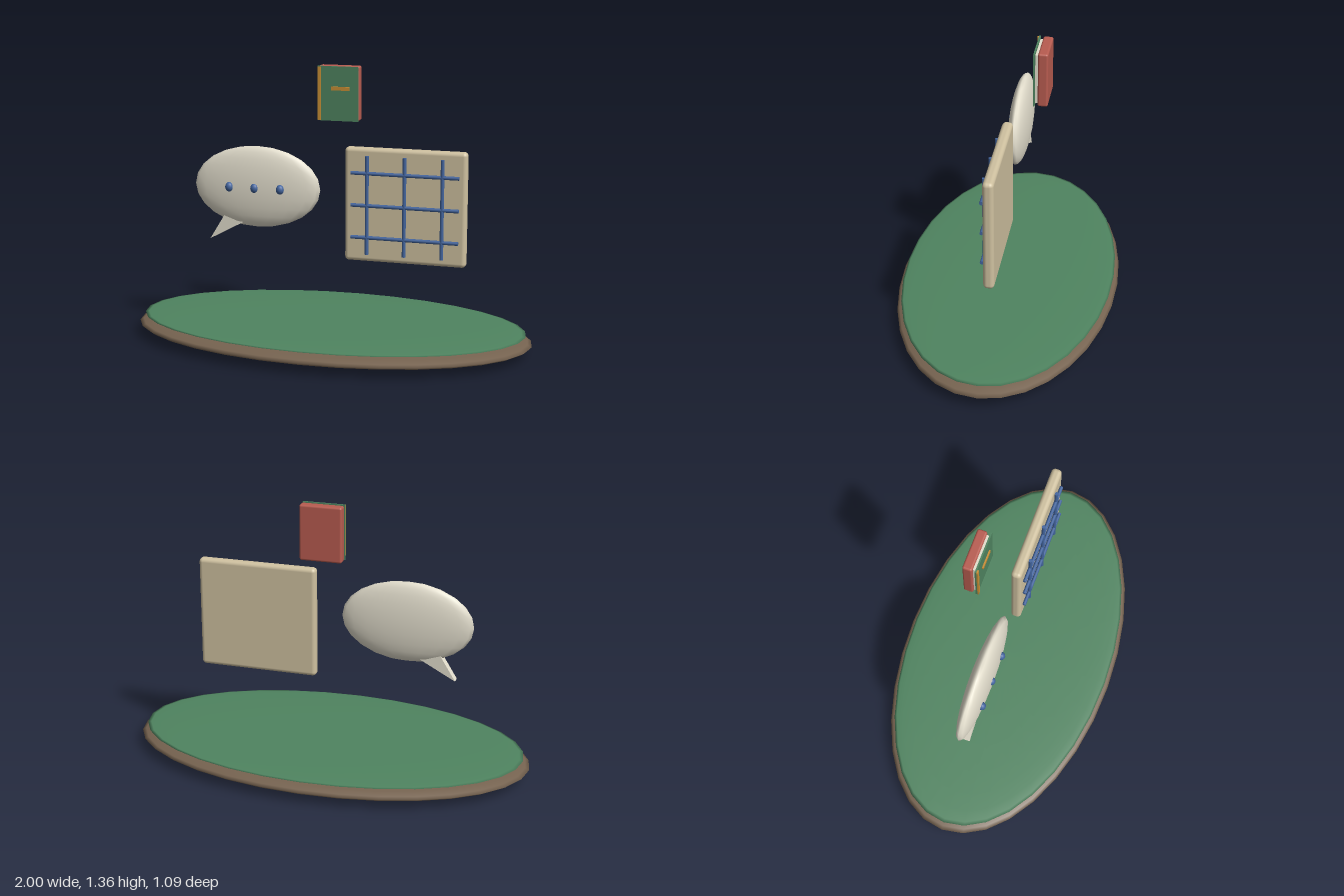
import * as THREE from 'three';
import { RoundedBoxGeometry } from 'three/addons/geometries/RoundedBoxGeometry.js';

const COLORS = {
  wood: 0x766350, green: 0x4f8460, cream: 0xe3decd, board: 0xcfc1a0,
  blue: 0x43659e, red: 0xb85c50, gold: 0xc98f35,
};
const materials = {};
for (const key in COLORS) materials[key] = new THREE.MeshStandardMaterial({ color: COLORS[key] });

function add(parent, name, geometry, color, x, y, z) {
  const mesh = new THREE.Mesh(geometry, materials[color]);
  mesh.name = name;
  mesh.position.set(x, y, z);
  parent.add(mesh);
  return mesh;
}

function ellipsoid(rx, ry, rz, segments, rings) {
  return new THREE.SphereGeometry(1, segments, rings).scale(rx, ry, rz);
}

function group(parent, name) {
  const g = new THREE.Group();
  g.name = name;
  parent.add(g);
  return g;
}

export function createModel() {
  const model = new THREE.Group();
  model.name = 'floatingScene';

  // Oval base with a green mat lying on it
  const base = group(model, 'base');
  add(base, 'baseDisc', ellipsoid(1, 0.058, 0.545, 32, 16), 'wood', 0, 0.06, 0);
  add(base, 'mat', ellipsoid(0.97, 0.016, 0.525, 32, 16), 'green', 0, 0.106, 0);

  // Speech bubble with tail and three dots
  const bubble = group(model, 'speechBubble');
  add(bubble, 'bubbleBody', ellipsoid(0.325, 0.203, 0.052, 20, 12), 'cream', -0.38, 0.765, 0);
  const tail = new THREE.Shape([
    new THREE.Vector2(-0.625, 0.49),
    new THREE.Vector2(-0.41, 0.605),
    new THREE.Vector2(-0.53, 0.645),
  ]);
  const tailGeometry = new THREE.ExtrudeGeometry(tail, { depth: 0.04, bevelEnabled: false });
  add(bubble, 'bubbleTail', tailGeometry, 'cream', 0, 0, -0.02);
  for (const x of [-0.511, -0.38, -0.247]) {
    add(bubble, 'bubbleDot', ellipsoid(0.02, 0.024, 0.02, 14, 10), 'blue', x, 0.765, 0.046);
  }

  // Rounded board with a grid of rods
  const board = group(model, 'gridBoard');
  add(board, 'boardPanel', new RoundedBoxGeometry(0.6, 0.56, 0.052, 4, 0.02), 'board', 0.375, 0.71, 0);
  for (const i of [-1, 0, 1]) {
    const upright = new THREE.CylinderGeometry(0.009, 0.009, 0.485, 10);
    add(board, 'uprightRod', upright, 'blue', 0.375 + i * 0.185, 0.71, 0.035);
    const level = new THREE.CylinderGeometry(0.009, 0.009, 0.53, 10).rotateZ(Math.PI / 2);
    add(board, 'levelRod', level, 'blue', 0.375, 0.71 + i * 0.158, 0.035);
  }

  // Book: red back, pages, green front cover, gold spine strip and plain label
  const book = group(model, 'book');
  add(book, 'backCover', new RoundedBoxGeometry(0.206, 0.27, 0.048, 3, 0.01), 'red', -0.002, 1.224, -0.166);
  add(book, 'pages', new THREE.BoxGeometry(0.18, 0.245, 0.02), 'cream', -0.002, 1.224, -0.138);
  add(book, 'frontCover', new THREE.BoxGeometry(0.206, 0.268, 0.008), 'green', -0.002, 1.224, -0.125);
  add(book, 'spineStrip', new THREE.BoxGeometry(0.016, 0.262, 0.008), 'gold', -0.096, 1.224, -0.118);
  add(book, 'label', new THREE.BoxGeometry(0.092, 0.018, 0.008), 'gold', 0.011, 1.25, -0.118);

  return model;
}
